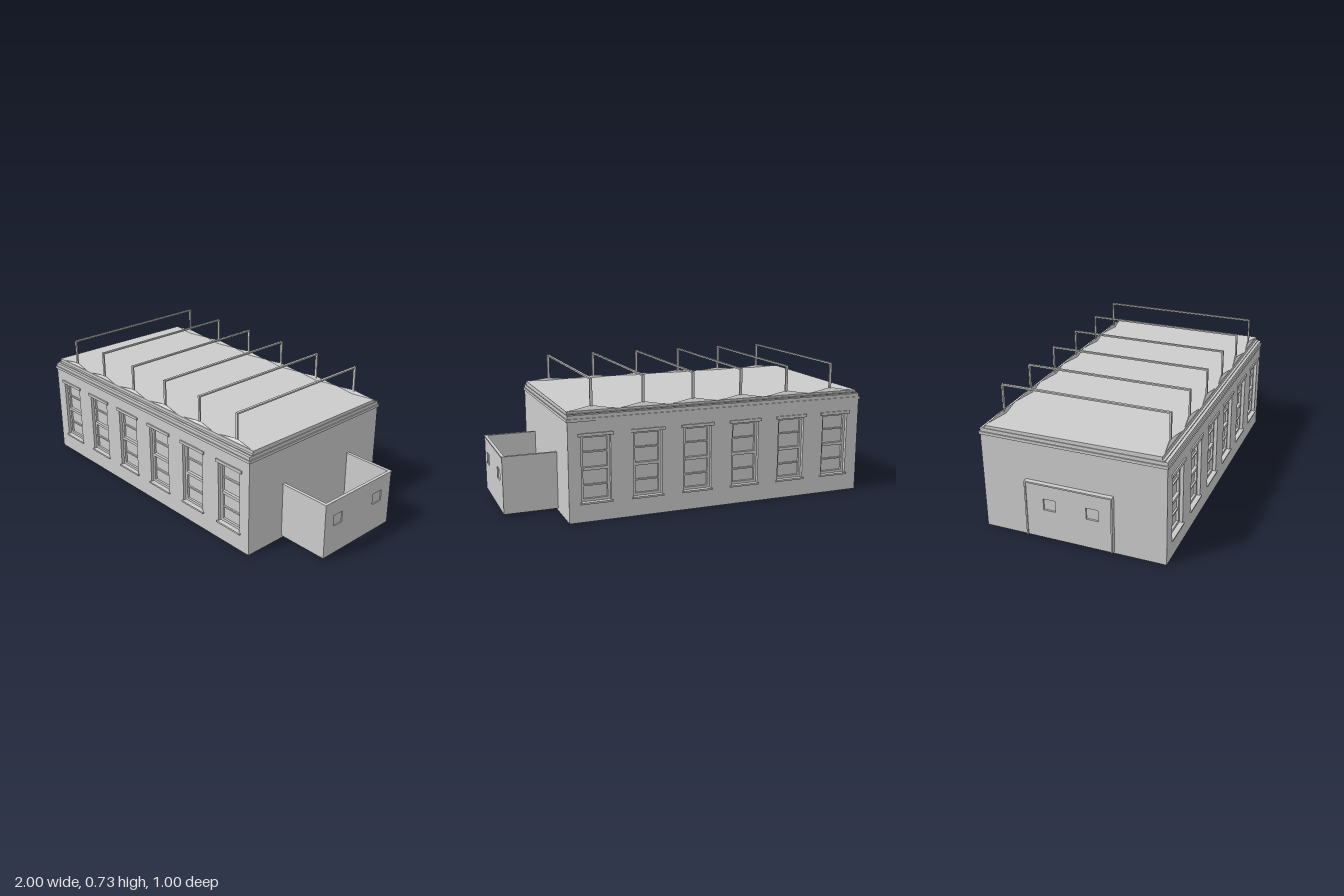
import * as THREE from 'three';
import { ConvexGeometry } from 'three/addons/geometries/ConvexGeometry.js';

const material = new THREE.MeshStandardMaterial({ color: 0xcccccc, flatShading: true, side: THREE.DoubleSide });

function add(parent, name, geometry) {
  const mesh = new THREE.Mesh(geometry, material);
  mesh.name = name;
  parent.add(mesh);
  return mesh;
}

// Box given by its low and high corner
function box(parent, name, x0, x1, y0, y1, z0, z1) {
  const g = new THREE.BoxGeometry(x1 - x0, y1 - y0, z1 - z0);
  g.translate((x0 + x1) / 2, (y0 + y1) / 2, (z0 + z1) / 2);
  return add(parent, name, g);
}

// Rectangle outline with rectangular holes, each [x0, x1, y0, y1]
function rectShape([x0, x1, y0, y1], holes = []) {
  const corners = (a, b, c, d) => [[a, c], [b, c], [b, d], [a, d]].map(p => new THREE.Vector2(...p));
  const shape = new THREE.Shape(corners(x0, x1, y0, y1));
  for (const h of holes) shape.holes.push(new THREE.Path(corners(...h)));
  return shape;
}

const extrude = (shape, depth) => new THREE.ExtrudeGeometry(shape, { depth, bevelEnabled: false });

// Horizontal rectangular ring
function ring(parent, name, outer, inner, y0, y1) {
  const g = extrude(rectShape(outer, [inner]), y1 - y0);
  g.rotateX(-Math.PI / 2).translate(0, y0, 0);
  return add(parent, name, g);
}

const X0 = -0.975, X1 = 0.71, Z = 0.49;
const PITCH = 0.278, BAYS = [0, 1, 2, 3, 4, 5];
const windowX = BAYS.map(i => -0.825 + i * PITCH);
const frameX = BAYS.map(i => -0.812 + i * 0.277);
const WIN = { half: 0.08, y0: 0.102, y1: 0.447, depth: 0.03 };

// Recessed sash window facing +z, with the wall plane at z = 0
function sashWindow(x) {
  const w = new THREE.Group();
  w.name = 'window';
  const { half: h, y0, y1, depth: d } = WIN, t = 0.008;
  const reveal = extrude(rectShape([-h, h, y0, y1], [[-h + 0.002, h - 0.002, y0 + 0.002, y1 - 0.002]]), d);
  add(w, 'windowReveal', reveal.translate(0, 0, -d));
  const frame = extrude(rectShape([-h, h, y0, y1], [[-h + 0.016, h - 0.016, y0 + 0.016, y1 - 0.012]]), 0.012);
  add(w, 'windowFrame', frame.translate(0, 0, -d));
  add(w, 'windowPane', new THREE.PlaneGeometry(2 * h, y1 - y0).translate(0, (y0 + y1) / 2, -d));
  for (let i = 1; i < 4; i++) {
    const y = y0 + (y1 - y0) * i / 4, s = i === 2 ? t : t / 2;
    box(w, 'windowBar', -h + 0.016, h - 0.016, y - s, y + s, -d, -d + (i === 2 ? 0.016 : 0.009));
  }
  box(w, 'windowLintel', -h - 0.013, h + 0.013, y1, y1 + 0.016, -0.004, 0.007);
  box(w, 'windowSill', -h - 0.006, h + 0.006, y0 - 0.007, y0 + 0.002, -d, 0.008);
  w.position.x = x;
  return w;
}

// Long wall facing +z with six windows; mirrored for the back
function longWall(name, sign) {
  const wall = new THREE.Group();
  wall.name = name;
  const { half, y0, y1 } = WIN;
  const holes = windowX.map(x => [x - half, x + half, y0, y1]);
  add(wall, 'wallFace', new THREE.ShapeGeometry(rectShape([X0, X1, 0, 0.555], holes)));
  windowX.forEach(x => wall.add(sashWindow(x)));
  wall.position.z = sign * Z;
  wall.scale.z = sign;
  return wall;
}

// Thin end panel with shallow square openings, standing in the XY plane
function openingPanel(parent, name, outline, openings, depth) {
  const panel = new THREE.Group();
  panel.name = name;
  add(panel, 'panelFace', extrude(rectShape(outline, openings), depth));
  openings.forEach(([a, b, c, d]) => box(panel, 'openingInfill', a, b, c, d, 0, depth * 0.5));
  parent.add(panel);
  return panel;
}

export function createModel() {
  const model = new THREE.Group();
  model.name = 'building';

  // Walls: an open shell
  model.add(longWall('frontWall', 1), longWall('backWall', -1));
  for (const [name, x, a] of [['rightEndWall', X1, 1], ['leftEndWall', X0, -1]]) {
    const g = new THREE.PlaneGeometry(2 * Z, 0.555);
    g.translate(0, 0.2775, 0).rotateY(a * Math.PI / 2).translate(x, 0, 0);
    add(model, name, g);
  }

  // Cornice band and coping
  ring(model, 'corniceBand', [X0 - 0.006, X1 + 0.006, -Z - 0.006, Z + 0.006],
    [X0 + 0.004, X1 - 0.004, -Z + 0.004, Z - 0.004], 0.524, 0.539);
  ring(model, 'coping', [X0, X1, -Z, Z], [X0 + 0.03, X1 - 0.03, -0.45, 0.45], 0.545, 0.557);

  // Roof slab, falling slightly to the back
  const roof = new THREE.BoxGeometry(X1 - X0 - 0.008, 0.016, 0.925);
  const p = roof.attributes.position;
  for (let i = 0; i < p.count; i++) if (p.getY(i) > 0) p.setY(i, 0.011 + p.getZ(i) * 0.008);
  roof.translate((X0 + X1) / 2, 0.565, 0);
  roof.computeVertexNormals();
  add(model, 'roof', roof);
  for (const s of [-1, 1]) {
    box(model, 'roofStep', X0 + 0.003, X1 - 0.003, 0.555, 0.562, s * 0.465 - 0.01, s * 0.465 + 0.01);
  }

  // Roof frames: posts on little gables, joined by a long bar
  for (const x of frameX) {
    const frame = new THREE.Group();
    frame.name = 'roofFrame';
    for (const s of [-1, 1]) {
      const y = s > 0 ? 0.577 : 0.571;
      add(frame, 'roofGable', new ConvexGeometry([
        new THREE.Vector3(-0.137, y, s * 0.461), new THREE.Vector3(0.137, y, s * 0.461),
        new THREE.Vector3(0, 0.594, s * 0.445), new THREE.Vector3(0, y, s * 0.435),
      ]));
      box(frame, 'post', -0.007, 0.007, 0.575, 0.732, s * 0.444 - 0.004, s * 0.444 + 0.004);
    }
    box(frame, 'topBar', -0.007, 0.007, 0.724, 0.732, -0.448, 0.448);
    frame.position.x = x;
    model.add(frame);
  }

  // Open annex on the right end
  const annex = new THREE.Group();
  annex.name = 'annex';
  const T = 0.012, Y0 = 0.014, Y1 = 0.32;
  const end = openingPanel(annex, 'annexEndWall', [-0.25, 0.262, Y0, Y1],
    [[-0.185, -0.12, 0.175, 0.237], [0.12, 0.19, 0.175, 0.237]], T);
  end.rotation.y = Math.PI / 2;
  end.position.x = 0.997 - T;
  box(annex, 'annexFrontWall', X1, 0.997 - T, Y0, Y1, 0.25 - T, 0.25);
  box(annex, 'annexBackWall', X1, 0.997 - T, Y0, Y1, -0.262, -0.262 + T);
  box(annex, 'annexFrontRim', X1, 1, 0.315, 0.322, 0.236, 0.254);
  box(annex, 'annexBackRim', X1, 1, 0.315, 0.322, -0.266, -0.248);
  box(annex, 'annexEndRim', 0.983, 1, 0.315, 0.322, -0.266, 0.254);
  model.add(annex);

  // Shallow panel on the left end
  const door = openingPanel(model, 'leftEndPanel', [-0.245, 0.215, Y0, Y1],
    [[-0.15, -0.085, 0.175, 0.237], [0.08, 0.145, 0.175, 0.237]], 0.019);
  box(door, 'panelTopRim', -0.25, 0.22, 0.314, 0.322, 0, 0.025);
  for (const z of [-0.25, 0.212]) box(door, 'panelSideRim', z, z + 0.008, Y0, Y1, 0, 0.025);
  door.rotation.y = -Math.PI / 2;
  door.position.x = X0;

  return model;
}
